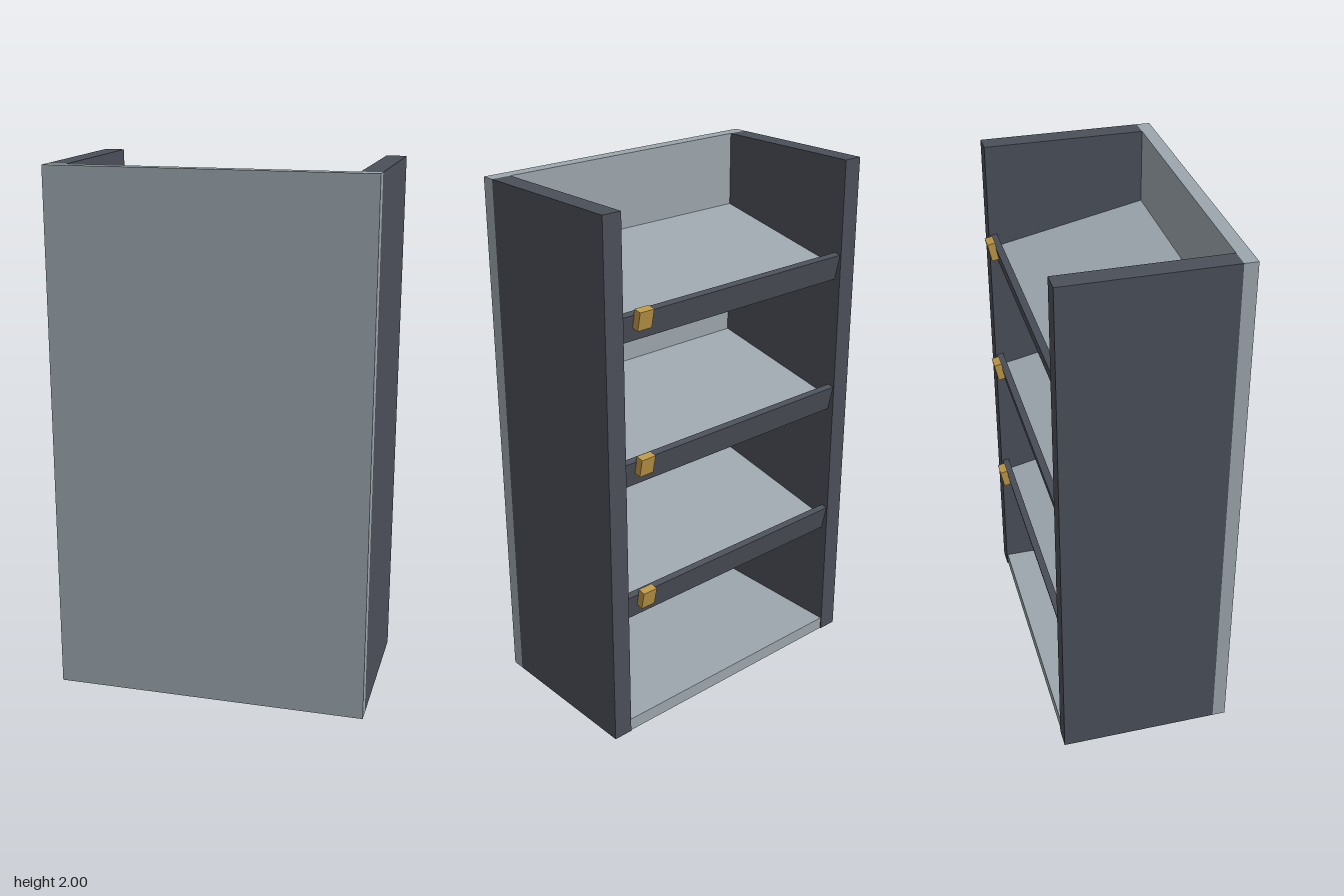
import * as THREE from 'three';

export function createModel() {
  const model = new THREE.Group();
  model.name = 'shelfUnit';

  const mat = (name, color) => {
    const m = new THREE.MeshStandardMaterial({ color });
    m.name = name;
    return m;
  };
  const lightGrey = mat('light grey', 0x9ca6ad);
  const charcoal = mat('charcoal', 0x4b4f59);
  const brass = mat('brass', 0xbd9747);

  // Box given by its [min, max] extents on each axis
  const box = (parent, name, material, [x0, x1], [y0, y1], [z0, z1]) => {
    const mesh = new THREE.Mesh(new THREE.BoxGeometry(x1 - x0, y1 - y0, z1 - z0), material);
    mesh.position.set((x0 + x1) / 2, (y0 + y1) / 2, (z0 + z1) / 2);
    mesh.name = name;
    parent.add(mesh);
    return mesh;
  };

  // Large closed panel, with two thick side walls behind it
  box(model, 'frontPanel', lightGrey, [-0.595, 0.595], [0, 2], [0.29, 0.34]);
  box(model, 'leftSide', charcoal, [0.52, 0.595], [0, 2], [-0.314, 0.29]);
  box(model, 'rightSide', charcoal, [-0.595, -0.52], [0, 2], [-0.314, 0.29]);

  // Flat base board between the sides
  box(model, 'baseBoard', lightGrey, [-0.52, 0.52], [0, 0.05], [-0.31, 0.29]);

  // Three shelves sloping down to the open side, each with a lip and a tag clip
  for (let i = 0; i < 3; i++) {
    const shelf = new THREE.Group();
    shelf.name = 'slopingShelf';
    shelf.position.set(0, 0.655 + i * 0.5325, 0.29);
    shelf.rotation.x = -THREE.MathUtils.degToRad(12);
    box(shelf, 'shelfBoard', lightGrey, [-0.52, 0.52], [-0.05, 0], [-0.576, 0]);
    box(shelf, 'shelfLip', charcoal, [-0.52, 0.52], [-0.05, 0.05], [-0.602, -0.576]);
    box(shelf, 'tagClip', brass, [0.41, 0.47], [0.0015, 0.0715], [-0.629, -0.599]);
    model.add(shelf);
  }

  return model;
}
